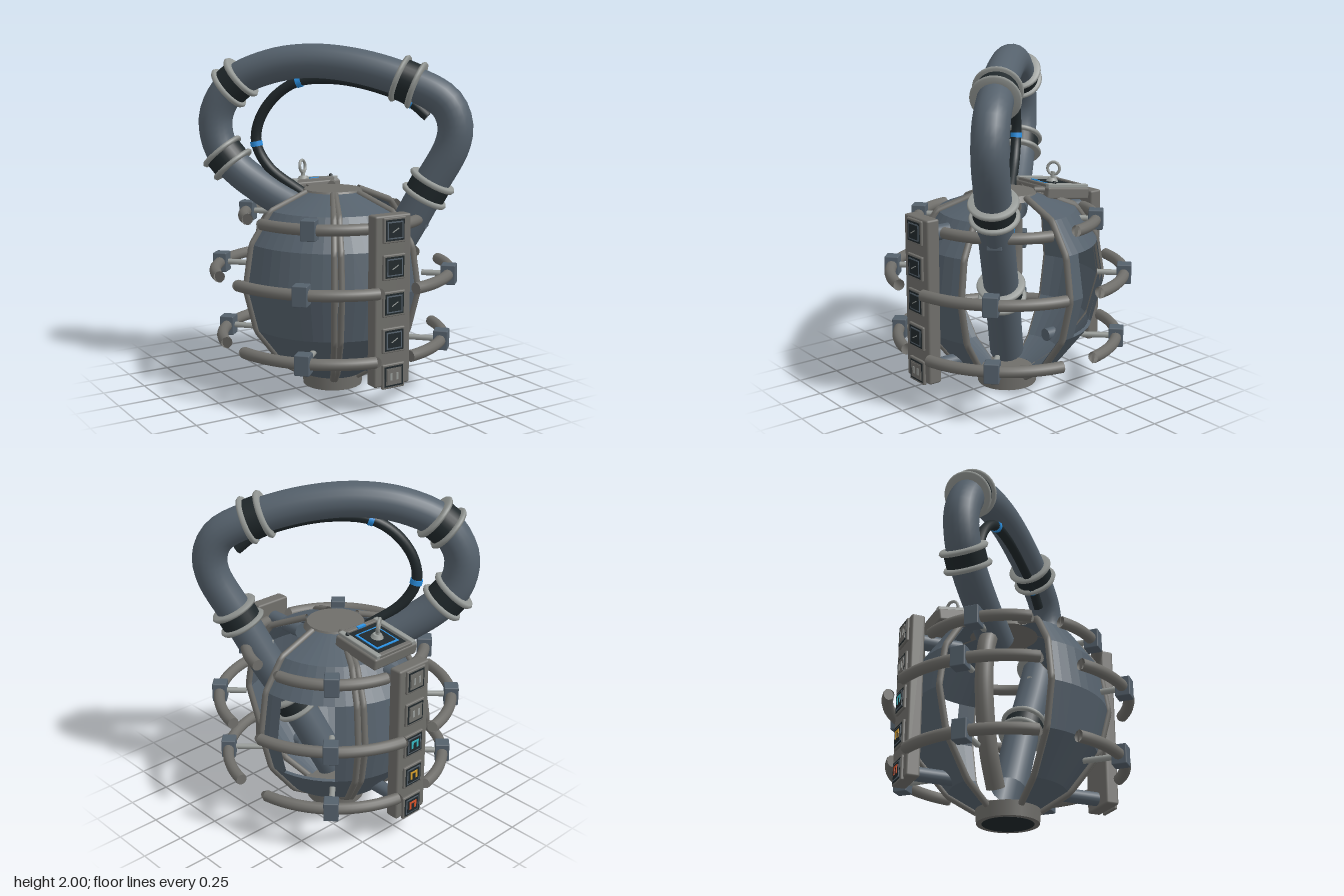
import * as THREE from 'three';
import { RoundedBoxGeometry } from 'three/addons/geometries/RoundedBoxGeometry.js';

const mat = (color, flat = false) =>
  new THREE.MeshStandardMaterial({ color, flatShading: flat, side: THREE.DoubleSide });
const slate = mat(0x55616c), slateFlat = mat(0x55616c, true), grey = mat(0x6f6e6a), dark = mat(0x20282b),
  light = mat(0x949895), blue = mat(0x2a8fe0), cyan = mat(0x35b5c0), amber = mat(0xd9a02a), red = mat(0xd9532a);
const V = (x, y, z) => new THREE.Vector3(x, y, z);
const rad = THREE.MathUtils.degToRad;

function add(parent, name, geometry, material, x = 0, y = 0, z = 0) {
  const m = new THREE.Mesh(geometry, material);
  m.name = name;
  m.position.set(x, y, z);
  parent.add(m);
  return m;
}

function group(parent, name) {
  const g = new THREE.Group();
  g.name = name;
  parent.add(g);
  return g;
}

// Straight round bar between two points
function bar(parent, name, a, b, r, material) {
  const m = add(parent, name, new THREE.CylinderGeometry(r, r, a.distanceTo(b), 14), material);
  m.position.copy(a).add(b).multiplyScalar(0.5);
  m.quaternion.setFromUnitVectors(V(0, 1, 0), b.clone().sub(a).normalize());
}

// Curve in the diagonal plane x = z, from [x, y] pairs
const diagonal = pts => new THREE.CatmullRomCurve3(pts.map(([s, y]) => V(s, y, s)), false, 'centripetal');

// Object placed on a curve near [s, y], with its local y along the curve
function placeOn(obj, curve, s, y) {
  let best = 0, dist = Infinity;
  for (let i = 0; i <= 300; i++) {
    const d = curve.getPointAt(i / 300).distanceTo(V(s, y, s));
    if (d < dist) { dist = d; best = i / 300; }
  }
  obj.position.copy(curve.getPointAt(best));
  obj.quaternion.setFromUnitVectors(V(0, 1, 0), curve.getTangentAt(best));
}

// Shell profile [radius, y], bottom to top
const profile = [[0.17, 0.07], [0.33, 0.17], [0.5, 0.39], [0.565, 0.64], [0.525, 0.89], [0.4, 1.07], [0.17, 1.16]];

function shellPiece(parent, from, to, i0 = 0, i1 = profile.length - 1) {
  const outer = profile.slice(i0, i1 + 1);
  const inner = outer.map(([r, y]) => [r - 0.018, y + (0.62 - y) * 0.03]).reverse();
  const pts = [...outer, ...inner, outer[0]].map(p => new THREE.Vector2(...p));
  const seg = Math.max(2, Math.round((to - from) / 7));
  add(parent, 'shellPanel', new THREE.LatheGeometry(pts, seg, rad(from), rad(to - from)), slateFlat);
}

function rib(parent, phi, r = 0.019) {
  const a = rad(phi);
  const path = new THREE.CurvePath();
  const pts = profile.map(([q, y]) => V((q + 0.005) * Math.sin(a), y, (q + 0.005) * Math.cos(a)));
  for (let i = 1; i < pts.length; i++) path.add(new THREE.LineCurve3(pts[i - 1], pts[i]));
  add(parent, 'shellRib', new THREE.TubeGeometry(path, 48, r, 8), grey);
}

// Tall control panel with five framed screens, facing local +z
function controlPanel(parent, name, lamps) {
  const g = group(parent, name);
  add(g, 'panelBody', new RoundedBoxGeometry(0.23, 0.95, 0.08, 2, 0.012), grey, 0, 0.635, 0.595);
  lamps.forEach((lamp, i) => {
    const y = 1.03 - i * 0.203;
    add(g, 'screenFrame', new RoundedBoxGeometry(0.145, 0.14, 0.02, 1, 0.006), grey, 0, y, 0.638);
    add(g, 'screenBorder', new THREE.BoxGeometry(0.12, 0.115, 0.012), dark, 0, y, 0.644);
    add(g, 'screenRim', new THREE.BoxGeometry(0.1, 0.095, 0.008), lamp === light ? grey : slate, 0, y, 0.648);
    add(g, 'screen', new THREE.BoxGeometry(0.085, 0.08, 0.008), lamp === light ? grey : dark, 0, y, 0.65);
    if (lamp === dark) {
      add(g, 'needle', new THREE.BoxGeometry(0.045, 0.005, 0.004), light, 0, y, 0.655).rotation.z = 0.5;
    } else {
      for (const s of [-1, 1]) add(g, 'indicator', new THREE.BoxGeometry(0.014, 0.04, 0.006), lamp, s * 0.02, y, 0.654);
      if (lamp !== light) add(g, 'indicatorBar', new THREE.BoxGeometry(0.055, 0.012, 0.006), lamp, 0, y + 0.022, 0.654);
    }
  });
  bar(g, 'upperStrut', V(0, 1.0, 0.3), V(0, 1.0, 0.57), 0.045, slate);
  bar(g, 'lowerStrut', V(0, 0.215, 0.3), V(0, 0.215, 0.57), 0.04, slate);
  return g;
}

// Hose collar: dark band between two flanges, axis along y
function collar(parent, curve, s, y) {
  const g = group(parent, 'hoseCollar');
  add(g, 'collarBand', new THREE.CylinderGeometry(0.117, 0.117, 0.1, 28), dark);
  for (const h of [-0.05, 0.05]) {
    const pts = [[0.09, -0.014], [0.132, -0.014], [0.14, 0], [0.132, 0.014], [0.09, 0.014]];
    add(g, 'collarFlange', new THREE.LatheGeometry(pts.map(p => new THREE.Vector2(...p)), 32), light, 0, h, 0);
  }
  placeOn(g, curve, s, y);
}

export function createModel() {
  const model = new THREE.Group();
  model.name = 'reactorPod';

  // Base, floor and top cap
  add(model, 'base', new THREE.CylinderGeometry(0.182, 0.175, 0.085, 32), grey, 0, 0.0435, 0);
  add(model, 'baseUnderside', new THREE.CylinderGeometry(0.145, 0.145, 0.01, 32), dark, 0, 0.005, 0);
  add(model, 'topCap', new THREE.CylinderGeometry(0.165, 0.185, 0.035, 24), grey, 0, 1.153, 0);

  // Shell: two open quadrants, solid panels and one windowed panel
  const shell = group(model, 'shell');
  shellPiece(shell, -90, -30);
  shellPiece(shell, -26, 26);
  shellPiece(shell, 154, 206);
  shellPiece(shell, 90, 101);
  shellPiece(shell, 137, 150);
  shellPiece(shell, 101, 137, 0, 2);
  shellPiece(shell, 101, 137, 4, 6);
  for (const phi of [-90, -30, -26, 26, 90, 150, 154, 206]) rib(shell, phi);

  // Broken outer rings with clamps and rods
  for (const [y, r, end] of [[1.02, 0.517, 0.36], [0.7, 0.687, 0.53], [0.31, 0.65, 0.44]]) {
    const cage = group(model, 'outerRing');
    for (let q = 0; q < 4; q++) {
      const quarter = group(cage, 'ringQuarter');
      quarter.rotation.y = q * Math.PI / 2;
      const pts = [];
      for (let a = 10; a <= 80; a += 5) pts.push(V(r * Math.cos(rad(a)), y, r * Math.sin(rad(a))));
      const arc = new THREE.CatmullRomCurve3(pts);
      add(quarter, 'ringTube', new THREE.TubeGeometry(arc, 28, 0.033, 12), grey);
      for (const [i, turn] of [[0, -1], [pts.length - 1, 1]]) {
        const cap = add(quarter, 'ringEnd', new THREE.CircleGeometry(0.033, 12), grey);
        cap.position.copy(pts[i]);
        cap.lookAt(pts[i].clone().addScaledVector(arc.getTangentAt(i ? 1 : 0), turn));
      }
      const k = Math.SQRT1_2;
      const clamp = add(quarter, 'ringClamp', new RoundedBoxGeometry(0.085, 0.115, 0.085, 1, 0.006), slate, r * k, y, r * k);
      clamp.rotation.y = Math.PI / 4;
      bar(quarter, 'clampRod', V(r * k, y, r * k), V(end * k, y, end * k), 0.017, light);
    }
  }

  // Control panels
  controlPanel(model, 'frontPanel', [dark, dark, dark, dark, light]);
  controlPanel(model, 'backPanel', [light, light, cyan, amber, red]).rotation.y = Math.PI;

  // Large hose looping over the shell along its diagonal
  const hose = diagonal([[0.01, 0.2], [0.17, 0.63], [0.29, 0.91], [0.4, 1.2], [0.49, 1.44], [0.5, 1.56], [0.46, 1.68],
    [0.31, 1.79], [0.1, 1.875], [-0.1, 1.9], [-0.27, 1.865], [-0.42, 1.765], [-0.5, 1.58], [-0.485, 1.4], [-0.42, 1.28],
    [-0.28, 1.14], [-0.12, 1.02]]);
  add(model, 'mainHose', new THREE.TubeGeometry(hose, 90, 0.1, 20), slate);
  for (const [s, y] of [[0.17, 0.64], [0.4, 1.19], [0.31, 1.79], [-0.42, 1.77], [-0.455, 1.32]]) collar(model, hose, s, y);

  // Thin cable under the hose with blue bands
  const cable = diagonal([[0.39, 1.6], [0.32, 1.68], [0.2, 1.75], [0.02, 1.8], [-0.14, 1.785], [-0.24, 1.7],
    [-0.31, 1.56], [-0.325, 1.42], [-0.27, 1.28], [-0.12, 1.13]]);
  add(model, 'cable', new THREE.TubeGeometry(cable, 60, 0.031, 10), dark);
  for (const [s, y] of [[0.32, 1.67], [-0.14, 1.785], [-0.32, 1.42]]) {
    placeOn(add(model, 'cableBand', new THREE.CylinderGeometry(0.036, 0.036, 0.03, 14), blue), cable, s, y);
  }

  // Upright conduit inside the open back quadrant, with a blue light line
  const conduit = [[-0.13, 0.15], [-0.2, 0.32], [-0.245, 0.55], [-0.255, 0.75], [-0.23, 0.95], [-0.14, 1.12]];
  add(model, 'conduit', new THREE.TubeGeometry(diagonal(conduit), 36, 0.052, 12), grey);
  const strip = conduit.slice(1, 5).map(([s, y]) => [s + 0.035, y]);
  add(model, 'conduitLight', new THREE.TubeGeometry(diagonal(strip), 24, 0.012, 6), blue);

  // Tilted hatch on the upper back, with a framed screen and a lifting eye
  const hatch = group(model, 'topHatch');
  hatch.position.set(0, 1.135, -0.335);
  hatch.rotation.x = -0.14;
  add(hatch, 'hatchBody', new RoundedBoxGeometry(0.33, 0.07, 0.32, 2, 0.012), grey);
  for (const s of [-1, 1]) {
    add(hatch, 'hatchRail', new RoundedBoxGeometry(0.035, 0.03, 0.31, 1, 0.006), light, s * 0.135, 0.04, 0);
    add(hatch, 'hatchEndRail', new RoundedBoxGeometry(0.27, 0.025, 0.03, 1, 0.006), grey, 0, 0.038, s * 0.14);
  }
  add(hatch, 'hatchRecess', new THREE.BoxGeometry(0.23, 0.01, 0.25), dark, 0, 0.034, 0);
  add(hatch, 'screenGlow', new THREE.BoxGeometry(0.17, 0.014, 0.175), blue, 0, 0.037, 0);
  add(hatch, 'hatchScreen', new THREE.BoxGeometry(0.145, 0.016, 0.15), dark, 0, 0.039, 0);
  add(hatch, 'hatchLamp', new THREE.BoxGeometry(0.06, 0.012, 0.018), blue, 0, 0.05, 0.13);
  add(hatch, 'hatchKnob', new THREE.SphereGeometry(0.012, 10, 8), dark, 0.135, 0.058, 0.1);
  add(hatch, 'eyeFoot', new THREE.CylinderGeometry(0.025, 0.04, 0.025, 16), light, 0, 0.055, 0);
  add(hatch, 'eyePost', new THREE.CylinderGeometry(0.012, 0.012, 0.05, 10), light, 0, 0.08, 0);
  add(hatch, 'liftingEye', new THREE.TorusGeometry(0.037, 0.009, 10, 24), light, 0, 0.125, 0).rotation.y = 0.6;
  bar(model, 'hatchHinge', V(0.08, 1.17, -0.14), V(0.12, 1.17, -0.2), 0.02, grey);

  return model;
}
